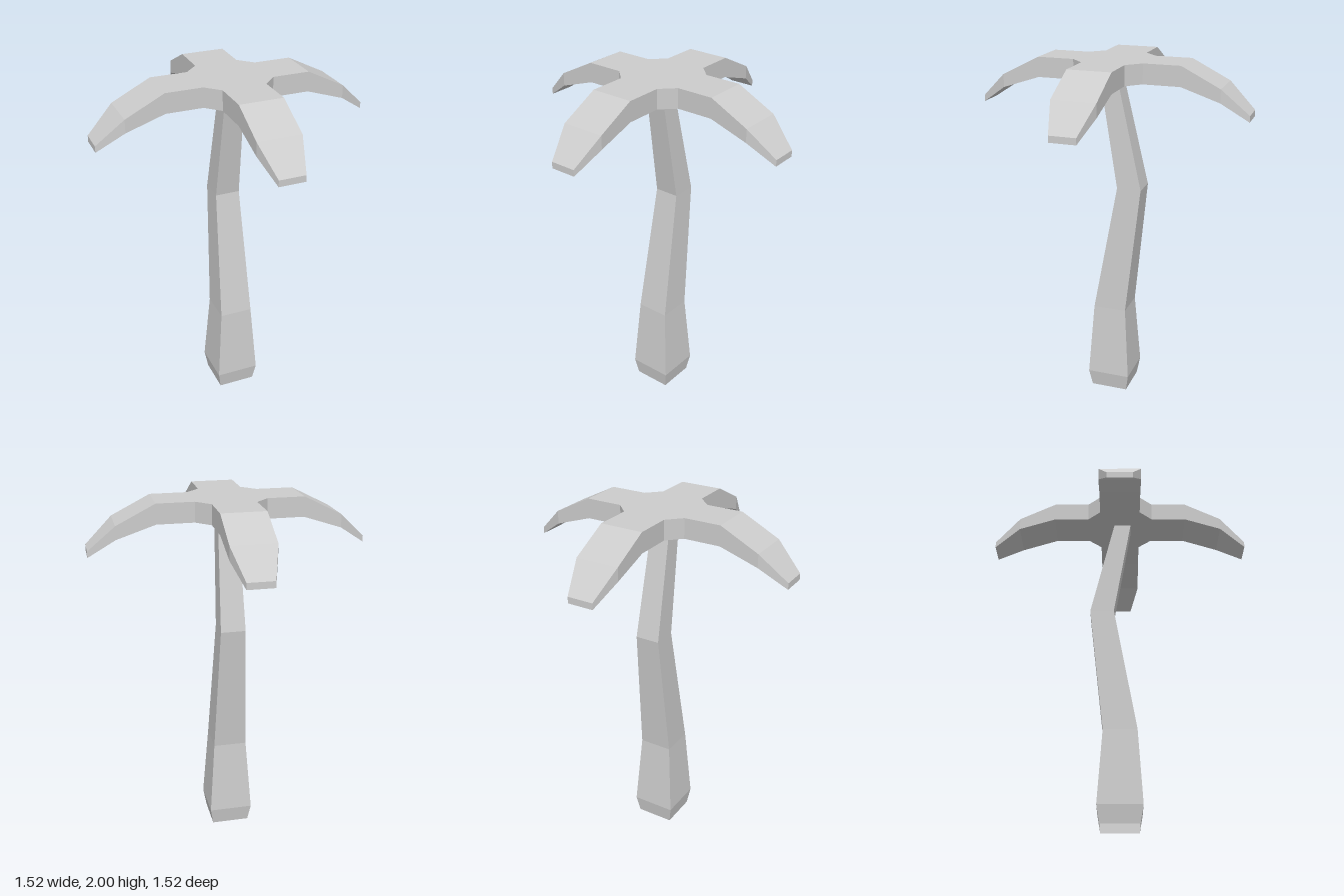
import * as THREE from 'three';

const grey = new THREE.MeshStandardMaterial({ color: 0xcccccc });
grey.name = 'plain grey';
grey.side = THREE.DoubleSide;
grey.flatShading = true;

// Joins four-cornered cross-sections with flat faces, optionally closing the last one
function loft(rings, capEnd) {
  const pos = [];
  const quad = (a, b, c, d) => pos.push(...a, ...b, ...c, ...a, ...c, ...d);
  for (let k = 0; k < rings.length - 1; k++) {
    for (let i = 0; i < 4; i++) {
      const j = (i + 1) % 4;
      quad(rings[k][i], rings[k + 1][i], rings[k + 1][j], rings[k][j]);
    }
  }
  if (capEnd) {
    const [a, b, c, d] = rings[rings.length - 1];
    quad(a, d, c, b);
  }
  const geo = new THREE.BufferGeometry();
  geo.setAttribute('position', new THREE.Float32BufferAttribute(pos, 3));
  geo.computeVertexNormals();
  return geo;
}

function addMesh(group, name, geo) {
  const mesh = new THREE.Mesh(geo, grey);
  mesh.name = name;
  group.add(mesh);
  return mesh;
}

export function createModel() {
  const model = new THREE.Group();
  model.name = 'palmTree';

  // Bent square trunk, open underneath: height, half width, front z, back z
  const trunk = [
    [0, 0.108, 0.108, -0.108],
    [0.1, 0.125, 0.125, -0.125],
    [0.53, 0.095, 0.097, -0.095],
    [1.28, 0.07, -0.036, -0.175],
    [1.89, 0.055, 0.066, -0.034],
  ].map(([y, w, f, b]) => [[w, y, f], [-w, y, f], [-w, y, b], [w, y, b]]);
  addMesh(model, 'trunk', loft(trunk, false));

  // Flat crown centre with chamfered inner corners
  const e = 0.195, w = 0.12;
  const outline = [[e, -w], [e, w], [w, e], [-w, e], [-e, w], [-e, -w], [-w, -e], [w, -e]];
  const shape = new THREE.Shape(outline.map(([x, y]) => new THREE.Vector2(x, y)));
  const hub = new THREE.ExtrudeGeometry(shape, { depth: 0.11, bevelEnabled: false });
  hub.rotateX(-Math.PI / 2).translate(0, 1.89, 0);
  addMesh(model, 'crownCentre', hub);

  // Four drooping fronds: distance out, half width, top y, bottom y
  const frond = [
    [e, w, 2, 1.89],
    [0.4, w, 2, 1.89],
    [0.613, w, 1.893, 1.82],
    [0.762, 0.072, 1.755, 1.72],
  ].map(([r, h, t, b]) => [[r, t, h], [r, t, -h], [r, b, -h], [r, b, h]]);
  const frondGeo = loft(frond, true);
  ['left', 'back', 'right', 'front'].forEach((side, i) => {
    addMesh(model, side + 'Frond', frondGeo).rotation.y = i * Math.PI / 2;
  });

  return model;
}
